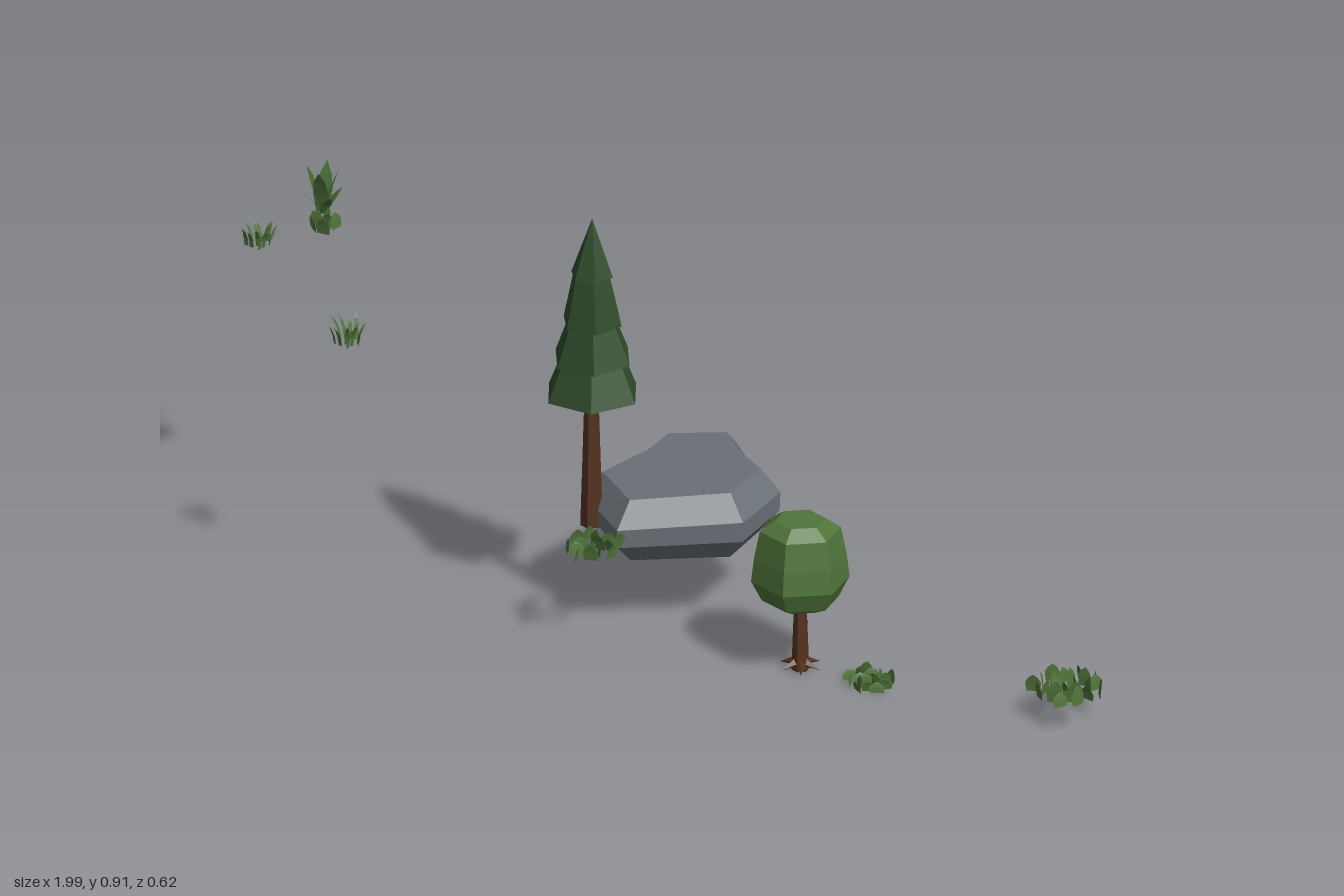
import * as THREE from 'three';
import { mergeGeometries } from 'three/addons/utils/BufferGeometryUtils.js';

const mat = (color, side = THREE.FrontSide) => {
  const m = new THREE.MeshStandardMaterial({ color, flatShading: true });
  m.side = side;
  return m;
};
const stone = mat(0x6b7278);
const bark = mat(0x55321f);
const needles = mat(0x2f4c2b);
const foliage = mat(0x50753a);
const grass = mat(0x507339, THREE.DoubleSide);
const fern = mat(0x456b35, THREE.DoubleSide);

function add(parent, name, geometry, material, x = 0, y = 0, z = 0) {
  const mesh = new THREE.Mesh(geometry, material);
  mesh.name = name;
  mesh.position.set(x, y, z);
  parent.add(mesh);
  return mesh;
}

// Small seeded generator
function seeded(seed) {
  let s = seed * 7919 + 17;
  return () => (s = (s * 16807) % 2147483647) / 2147483647;
}

// Closed solid through rings of equal point count, listed bottom to top
function loft(rings) {
  const n = rings[0].length, pos = [], idx = [];
  rings.forEach(r => r.forEach(p => pos.push(...p)));
  for (let k = 0; k < rings.length - 1; k++) {
    for (let i = 0; i < n; i++) {
      const a = k * n + i, b = k * n + (i + 1) % n;
      idx.push(a, b, b + n, a, b + n, a + n);
    }
  }
  const top = (rings.length - 1) * n;
  [0, top].forEach(base => {
    const c = pos.length / 3, ring = rings[base / n];
    pos.push(...[0, 1, 2].map(j => ring.reduce((t, p) => t + p[j], 0) / n));
    for (let i = 0; i < n; i++) {
      const a = base + i, b = base + (i + 1) % n;
      idx.push(c, ...(base ? [a, b] : [b, a]));
    }
  });
  const g = new THREE.BufferGeometry();
  g.setAttribute('position', new THREE.Float32BufferAttribute(pos, 3));
  g.setIndex(idx);
  g.computeVertexNormals();
  return g;
}

// Upright leaf strip from rows of [half width, height, forward bend]
function leaf(rows) {
  const pos = [], idx = [];
  rows.forEach(([w, y, z], i) => {
    pos.push(-w, y, z, w, y, z);
    const a = 2 * i;
    if (i) idx.push(a - 2, a - 1, a + 1, a - 2, a + 1, a);
  });
  const g = new THREE.BufferGeometry();
  g.setAttribute('position', new THREE.Float32BufferAttribute(pos, 3));
  g.setIndex(idx);
  g.computeVertexNormals();
  return g;
}

// Leaves spread over a disc on a sunflower spiral
function tuft(parent, name, [x, y, z], radius, count, height, thin, seed) {
  const rnd = seeded(seed), parts = [];
  for (let i = 0; i < count; i++) {
    const h = height * (0.7 + 0.3 * rnd());
    const a = i * 2.4, d = radius * Math.sqrt((i + 0.5) / count);
    const w = thin ? 0.005 : 0.017;
    const rows = thin
      ? [[w, 0, 0], [w, h * 0.4, h * 0.07], [w * 0.7, h * 0.75, h * 0.22], [0, h, h * 0.42]]
      : [[w * 0.85, 0, 0], [w, h * 0.5, 0.002], [w * 0.6, h * 0.8, 0.004], [0, h, 0.006]];
    parts.push(leaf(rows)
      .rotateY(thin ? a + rnd() : rnd() * Math.PI * 2)
      .translate(Math.sin(a) * d, 0, Math.cos(a) * d));
  }
  add(parent, name, mergeGeometries(parts), grass, x, y, z);
}

function boulder(parent) {
  const outline = [[-0.117, 0.2], [0.123, 0.083], [0.137, -0.1], [0.043, -0.195],
    [-0.043, -0.317], [-0.19, -0.27], [-0.2, -0.15], [-0.26, 0.03]];
  const cx = -0.065, cz = -0.04;
  const ring = (s, y, tilt) => outline.map(([x, z]) =>
    [cx + (x - cx) * s, y + tilt * (x * 0.05 + z * 0.03), cz + (z - cz) * s]);
  add(parent, 'boulder', loft([ring(0.79, 0.16, 0), ring(0.99, 0.207, 0.5),
    ring(1, 0.248, 1), ring(0.8, 0.301, 1)]), stone);
}

function pine(parent) {
  const tree = new THREE.Group();
  tree.name = 'pineTree';
  tree.position.set(-0.217, 0, 0.087);
  parent.add(tree);
  add(tree, 'pineTrunk', new THREE.CylinderGeometry(0.014, 0.024, 0.34, 6), bark, 0, 0.37, 0.004);
  // [bottom, top, bottom radius, top radius]
  [[0.503, 0.595, 0.106, 0.068], [0.585, 0.675, 0.088, 0.054],
    [0.67, 0.785, 0.067, 0.041], [0.78, 0.91, 0.047, 0]].forEach(([y0, y1, r0, r1], i) => {
    const tier = add(tree, 'pineTier' + (i + 1),
      new THREE.CylinderGeometry(r1, r0, y1 - y0, 6), needles, 0, (y0 + y1) / 2, 0);
    tier.rotation.set(i % 3 === 0 ? 0 : 0.05, 0.35 + i * 0.06, 0);
  });
}

function roundTree(parent) {
  const tree = new THREE.Group();
  tree.name = 'roundTree';
  tree.position.set(0.3, 0, 0.205);
  parent.add(tree);
  add(tree, 'roundTreeTrunk', new THREE.CylinderGeometry(0.013, 0.019, 0.165, 6), bark, 0, 0.0825, 0);
  // Roots splayed around the foot
  for (let i = 0; i < 6; i++) {
    const root = new THREE.ConeGeometry(0.011, 0.045, 4)
      .rotateX(Math.PI / 2 + 0.3).translate(0, 0.013, 0.028).rotateY(i * Math.PI / 3 + 0.4);
    add(tree, 'root', root, bark);
  }
  // Cut twig on the trunk
  const twig = add(tree, 'twig', new THREE.CylinderGeometry(0.003, 0.005, 0.022, 5), bark, 0.004, 0.095, -0.018);
  twig.rotation.x = -1.3;
  const crown = [[0.045, 0.147], [0.08, 0.165], [0.102, 0.21], [0.096, 0.262], [0.084, 0.325], [0.052, 0.348]];
  add(tree, 'crown', loft(crown.map(([r, y]) => Array.from({ length: 6 }, (_, i) => {
    const a = i * Math.PI / 3;
    return [Math.sin(a) * r * 1.04, y, Math.cos(a) * r];
  }))), foliage);
}

// Tall plant with upright inner leaves and short splayed outer ones
function tallPlant(parent) {
  const parts = [];
  const ringOf = (count, h, w, lean, turn) => {
    for (let i = 0; i < count; i++) {
      parts.push(leaf([[w * 0.7, 0, 0.004], [w, h * 0.45, lean * 0.4],
        [w * 0.75, h * 0.75, lean * 0.7], [0, h, lean]])
        .rotateY(turn + i * 2 * Math.PI / count));
    }
  };
  ringOf(4, 0.107, 0.017, 0.036, 0.1);
  ringOf(4, 0.052, 0.011, 0.045, 0.75);
  add(parent, 'tallPlant', mergeGeometries(parts), fern, -0.91, 0.714, -0.127);
}

export function createModel() {
  const model = new THREE.Group();
  model.name = 'woodlandSet';
  boulder(model);
  pine(model);
  roundTree(model);
  tallPlant(model);
  tuft(model, 'largeLeafPatch', [0.915, 0.056, 0.225], 0.076, 24, 0.045, false, 1);
  tuft(model, 'smallLeafPatch', [0.463, 0, 0.222], 0.05, 17, 0.031, false, 2);
  tuft(model, 'boulderLeafPatch', [-0.163, 0.208, 0.232], 0.062, 15, 0.038, false, 3);
  tuft(model, 'upperLeafPatch', [-0.892, 0.7, -0.085], 0.032, 9, 0.038, false, 4);
  tuft(model, 'grassTuft', [-0.713, 0.6, 0.235], 0.03, 13, 0.062, true, 5);
  tuft(model, 'upperGrassTuft', [-0.958, 0.738, 0.12], 0.03, 13, 0.055, true, 6);
  return model;
}
